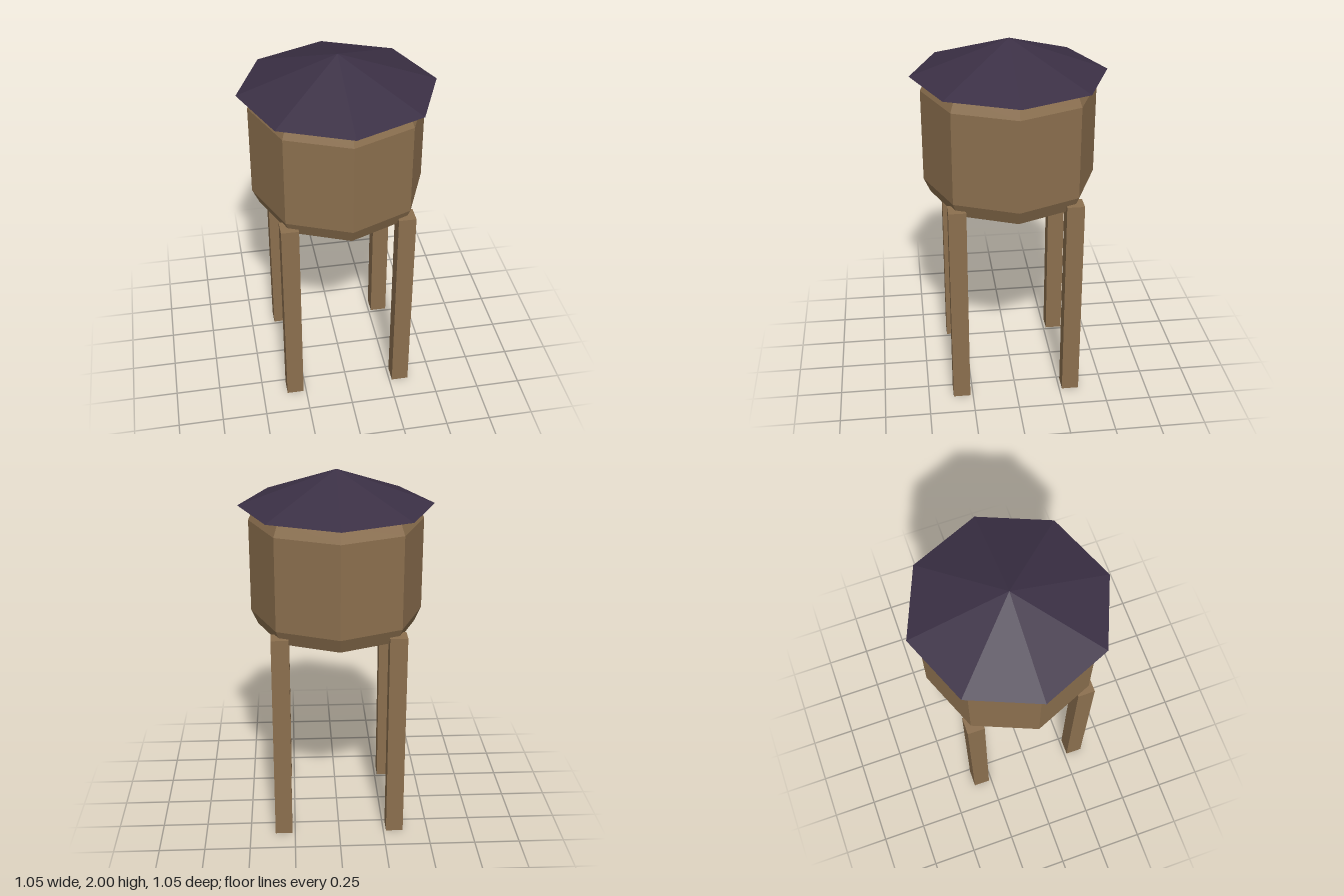
import * as THREE from 'three';

const SIDES = 8;

export function createModel() {
  const model = new THREE.Group();
  const wood = new THREE.MeshStandardMaterial({ color: 0x8b6f4e, flatShading: true });
  const slate = new THREE.MeshStandardMaterial({ color: 0x3b3045, flatShading: true });

  const add = (name, geometry, material, x, y, z) => {
    const mesh = new THREE.Mesh(geometry, material);
    mesh.name = name;
    mesh.position.set(x, y, z);
    model.add(mesh);
  };

  // Octagonal tank with bevelled rims, closed at both ends
  const profile = [[0, 1.14], [0.434, 1.14], [0.47, 1.22], [0.47, 1.73], [0.434, 1.81], [0, 1.81]]
    .map(([r, y]) => new THREE.Vector2(r, y));
  add('tank', new THREE.LatheGeometry(profile, SIDES), wood, 0, 0, 0);

  // Shallow overhanging roof
  const roofHeight = 0.19;
  add('roof', new THREE.ConeGeometry(0.525, roofHeight, SIDES), slate, 0, 2 - roofHeight / 2, 0);

  // Four square legs reaching slightly into the tank
  const legHeight = 1.18;
  const legGeometry = new THREE.BoxGeometry(0.095, legHeight, 0.095);
  for (const [xName, x] of [['Right', -0.313], ['Left', 0.313]]) {
    for (const [zName, z] of [['front', 0.313], ['back', -0.313]]) {
      add(`${zName}${xName}Leg`, legGeometry, wood, x, legHeight / 2, z);
    }
  }
  return model;
}
